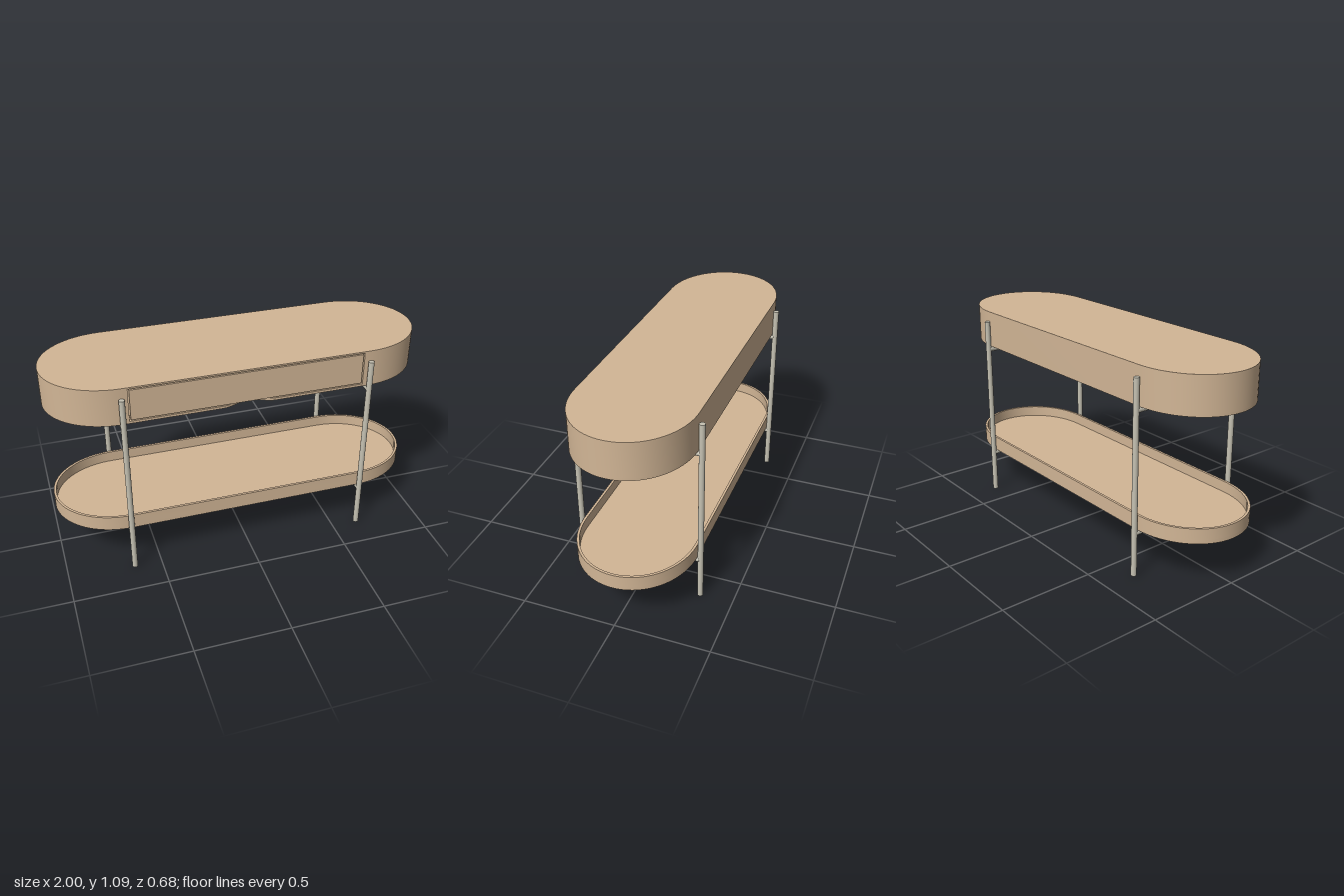
import * as THREE from 'three';
import { toCreasedNormals } from 'three/addons/utils/BufferGeometryUtils.js';

const wood = new THREE.MeshStandardMaterial({ color: 0xd2b696 });
wood.name = 'pale wood';
const metal = new THREE.MeshStandardMaterial({ color: 0xc6c2b3 });
metal.name = 'warm grey metal';

const HALF_W = 0.31, STRAIGHT = 0.64;

// Rounded-end plan outline; shape y is -z, so the front edge is at y = -HALF_W.
// frontEdge lists optional extra points along the front, from -x to +x.
function outline(PathType, inset = 0, frontEdge = []) {
  const w = HALF_W - inset, end = 1 - inset, k = 0.56;
  const cx = STRAIGHT + (end - STRAIGHT) * k;
  const p = new PathType();
  p.moveTo(-STRAIGHT, -w);
  frontEdge.forEach(([x, y]) => p.lineTo(x, y));
  p.lineTo(STRAIGHT, -w);
  p.bezierCurveTo(cx, -w, end, -w * k, end, 0);
  p.bezierCurveTo(end, w * k, cx, w, STRAIGHT, w);
  p.lineTo(-STRAIGHT, w);
  p.bezierCurveTo(-cx, w, -end, w * k, -end, 0);
  p.bezierCurveTo(-end, -w * k, -cx, -w, -STRAIGHT, -w);
  return p;
}

// Horizontal slab between two heights
function slab(name, shape, y0, y1) {
  let g = new THREE.ExtrudeGeometry(shape, { depth: y1 - y0, bevelEnabled: false, curveSegments: 20 });
  g.rotateX(-Math.PI / 2);
  g.translate(0, y0, 0);
  g = toCreasedNormals(g, 0.5);
  const mesh = new THREE.Mesh(g, wood);
  mesh.name = name;
  return mesh;
}

function rod(name, length, x, y, z, alongZ) {
  const g = new THREE.CylinderGeometry(0.015, 0.015, length, 24);
  if (alongZ) g.rotateX(Math.PI / 2);
  const mesh = new THREE.Mesh(g, metal);
  mesh.name = name;
  mesh.position.set(x, y, z);
  return mesh;
}

export function createModel() {
  const model = new THREE.Group();
  model.name = 'consoleTable';

  // Cabinet: base with a finger scoop, middle with a drawer recess, top
  const cabinet = new THREE.Group();
  cabinet.name = 'cabinet';
  const scoop = [];
  for (let i = 0; i <= 16; i++) {
    const t = i / 16;
    scoop.push([-0.14 + 0.28 * t, -HALF_W + 0.02 * (1 - Math.cos(2 * Math.PI * t))]);
  }
  const recess = [[-0.612, -HALF_W], [-0.612, -0.26], [0.612, -0.26], [0.612, -HALF_W]];
  cabinet.add(
    slab('cabinetBase', outline(THREE.Shape, 0, scoop), 0.89, 0.903),
    slab('cabinetBody', outline(THREE.Shape, 0, recess), 0.903, 1.081),
    slab('tableTop', outline(THREE.Shape), 1.081, 1.09)
  );
  // Drawer front sits flush with a narrow shadow gap around it
  const drawer = new THREE.Mesh(new THREE.BoxGeometry(1.21, 0.166, 0.05), wood);
  drawer.name = 'drawerFront';
  drawer.position.set(0, 0.992, 0.285);
  cabinet.add(drawer);
  model.add(cabinet);

  // Lower tray with a thin raised rim
  const rim = outline(THREE.Shape);
  rim.holes.push(outline(THREE.Path, 0.013));
  const tray = new THREE.Group();
  tray.name = 'tray';
  tray.add(
    slab('trayFloor', outline(THREE.Shape), 0.25, 0.27),
    slab('trayRim', rim, 0.27, 0.33)
  );
  model.add(tray);

  // Two leg frames, each with two legs and two crossbars
  for (const side of [-1, 1]) {
    const frame = new THREE.Group();
    frame.name = side > 0 ? 'leftLegFrame' : 'rightLegFrame';
    const x = side * 0.645;
    frame.add(
      rod('frontLeg', 1.035, x, 0.5175, 0.325),
      rod('backLeg', 1.035, x, 0.5175, -0.325),
      rod('upperCrossbar', 0.64, x, 0.874, 0, true),
      rod('lowerCrossbar', 0.64, x, 0.235, 0, true)
    );
    model.add(frame);
  }
  return model;
}
